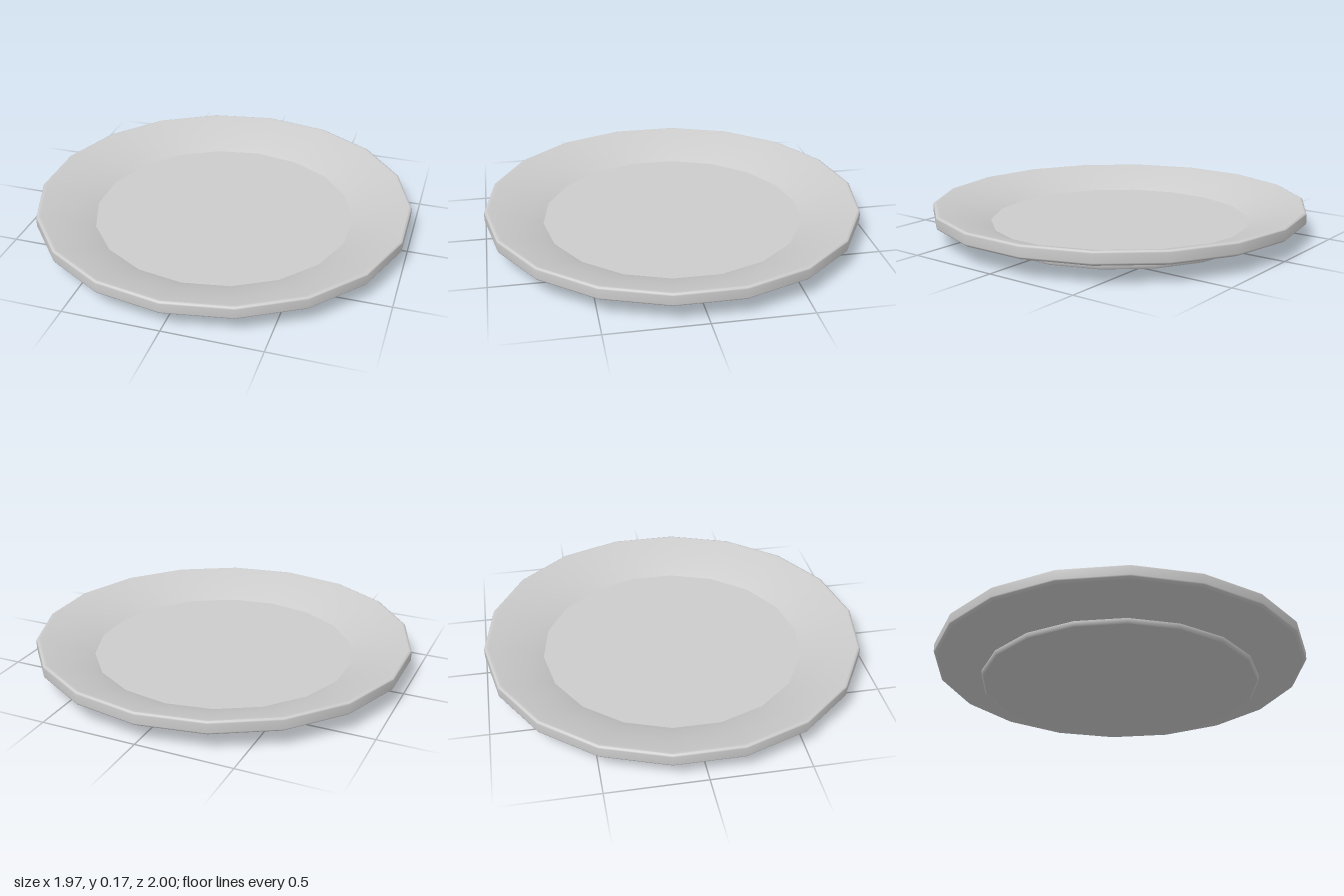
import * as THREE from 'three';

const SIDES = 18;

export function createModel() {
  const plate = new THREE.Group();
  plate.name = 'plate';
  const material = new THREE.MeshStandardMaterial({ color: 0xcccccc });

  // Each strip is turned separately, so edges between strips stay sharp.
  const turn = (name, profile) => {
    const points = profile.map(([r, y]) => new THREE.Vector2(r, y));
    const mesh = new THREE.Mesh(new THREE.LatheGeometry(points, SIDES), material);
    mesh.name = name;
    plate.add(mesh);
  };

  // Profile runs from the bottom centre, out around the rim, to the top centre.
  turn('footBase', [[0, 0], [0.735, 0]]);
  turn('footRing', [[0.735, 0], [0.745, 0.008], [0.745, 0.025]]);
  turn('underside', [[0.745, 0.025], [0.985, 0.095]]);
  turn('rim', [[0.985, 0.095], [0.997, 0.103], [1, 0.11], [1, 0.155], [0.997, 0.161], [0.988, 0.165]]);
  turn('innerSlope', [[0.988, 0.165], [0.975, 0.164], [0.87, 0.135], [0.76, 0.096], [0.695, 0.065]]);
  turn('floor', [[0.695, 0.065], [0, 0.065]]);

  return plate;
}
